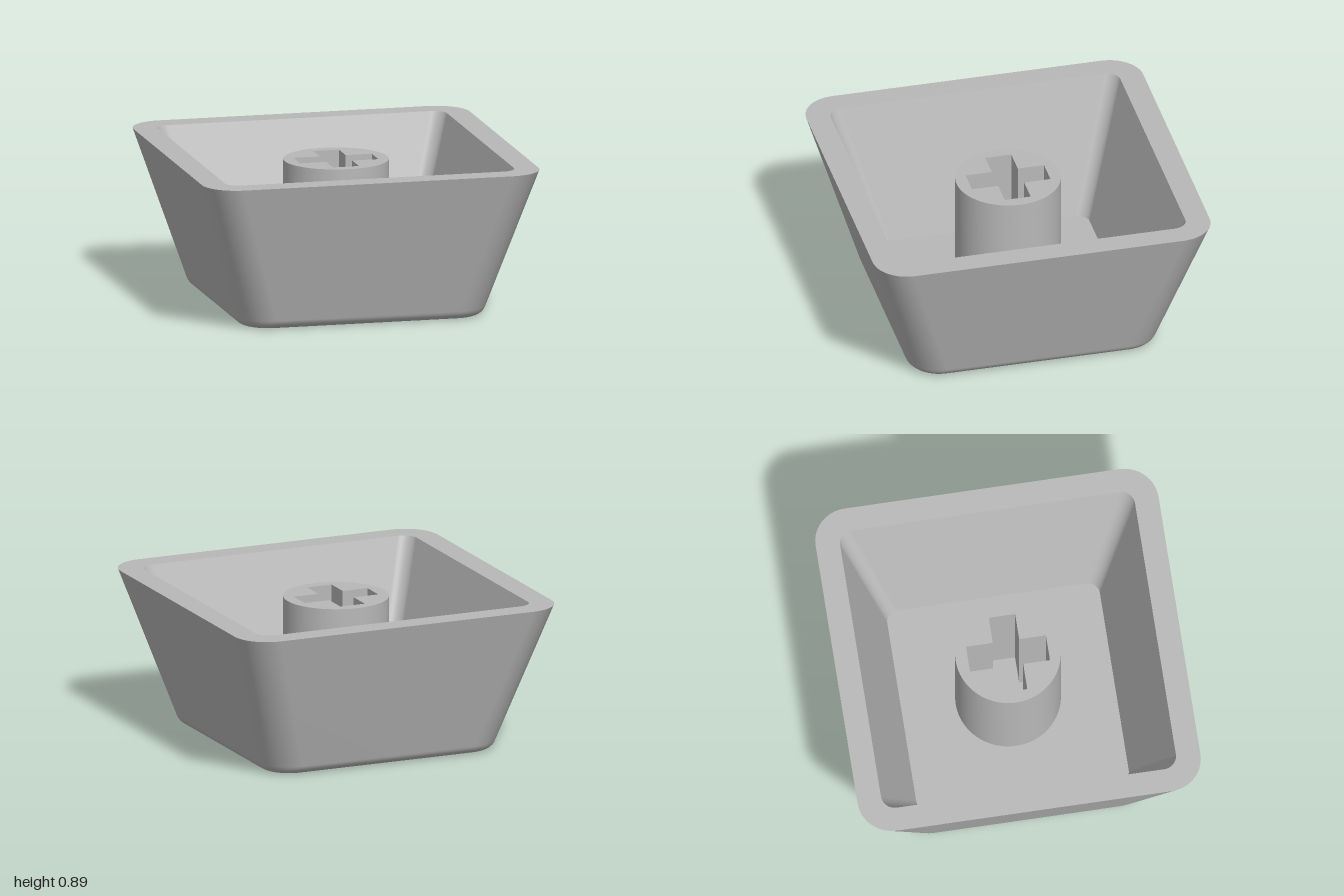
import * as THREE from 'three';
import { toCreasedNormals } from 'three/addons/utils/BufferGeometryUtils.js';

const HEIGHT = 0.89, FLOOR = 0.1, STEM_TOP = 0.83;
const CORNER_STEPS = 10;

// Rounded square in the ground plane, counterclockwise seen from above
function ring([half, radius, y]) {
  const points = [];
  const c = half - radius;
  for (let k = 0; k < 4; k++) {
    const sx = k === 0 || k === 3 ? 1 : -1;
    const sz = k < 2 ? -1 : 1;
    for (let i = 0; i <= CORNER_STEPS; i++) {
      const a = (k + i / CORNER_STEPS) * Math.PI / 2;
      points.push(sx * c + radius * Math.cos(a), y, sz * c - radius * Math.sin(a));
    }
  }
  return points;
}

// Skin a series of [half width, corner radius, height] sections
function loft(sections) {
  const n = 4 * (CORNER_STEPS + 1);
  const index = [];
  for (let j = 0; j < sections.length - 1; j++) {
    for (let i = 0; i < n; i++) {
      const a = j * n + i, b = j * n + (i + 1) % n;
      index.push(a, b, a + n, b, b + n, a + n);
    }
  }
  const geometry = new THREE.BufferGeometry();
  geometry.setAttribute('position', new THREE.Float32BufferAttribute(sections.flatMap(ring), 3));
  geometry.setIndex(index);
  geometry.computeVertexNormals();
  return geometry;
}

export function createModel() {
  const group = new THREE.Group();
  group.name = 'keycap';
  const grey = new THREE.MeshStandardMaterial({ color: 0xb8b8b8 });
  grey.name = 'grey plastic';

  const add = (name, geometry) => {
    const mesh = new THREE.Mesh(geometry, grey);
    mesh.name = name;
    group.add(mesh);
    return mesh;
  };

  // Outer shell: flat underside, rounded lower edge, flared walls
  const r = 0.075, tilt = 0.295, center = 0.673;
  const outer = [[0, 0, 0]];
  for (let i = 0; i <= 6; i++) {
    const a = -Math.PI / 2 + (Math.PI / 2 - tilt) * i / 6;
    const half = center + r * Math.cos(a);
    outer.push([half, 0.2 - (0.745 - half), r + r * Math.sin(a)]);
  }
  outer.push([1, 0.2, HEIGHT]);
  add('outerShell', loft(outer));

  // Rim, inner walls and inner floor
  const rimInner = [0.86, 0.08, HEIGHT], floorEdge = [0.62, 0.07, FLOOR];
  add('rim', loft([[1, 0.2, HEIGHT], rimInner]));
  add('innerWalls', loft([rimInner, floorEdge]));
  add('innerFloor', loft([floorEdge, [0, 0, FLOOR]]));

  // Round stem with a cross-shaped socket
  const stem = new THREE.Shape().absarc(0, 0, 0.305, 0, Math.PI * 2);
  const w = 0.077, l = 0.233;
  const cross = [[w, l], [w, w], [l, w], [l, -w], [w, -w], [w, -l],
    [-w, -l], [-w, -w], [-l, -w], [-l, w], [-w, w], [-w, l]];
  stem.holes.push(new THREE.Path(cross.map(([x, y]) => new THREE.Vector2(x, y))));
  const stemGeometry = new THREE.ExtrudeGeometry(stem, {
    depth: STEM_TOP - FLOOR, bevelEnabled: false, curveSegments: 48,
  });
  stemGeometry.rotateX(-Math.PI / 2);
  add('stem', toCreasedNormals(stemGeometry, 0.5)).position.y = FLOOR;

  return group;
}
